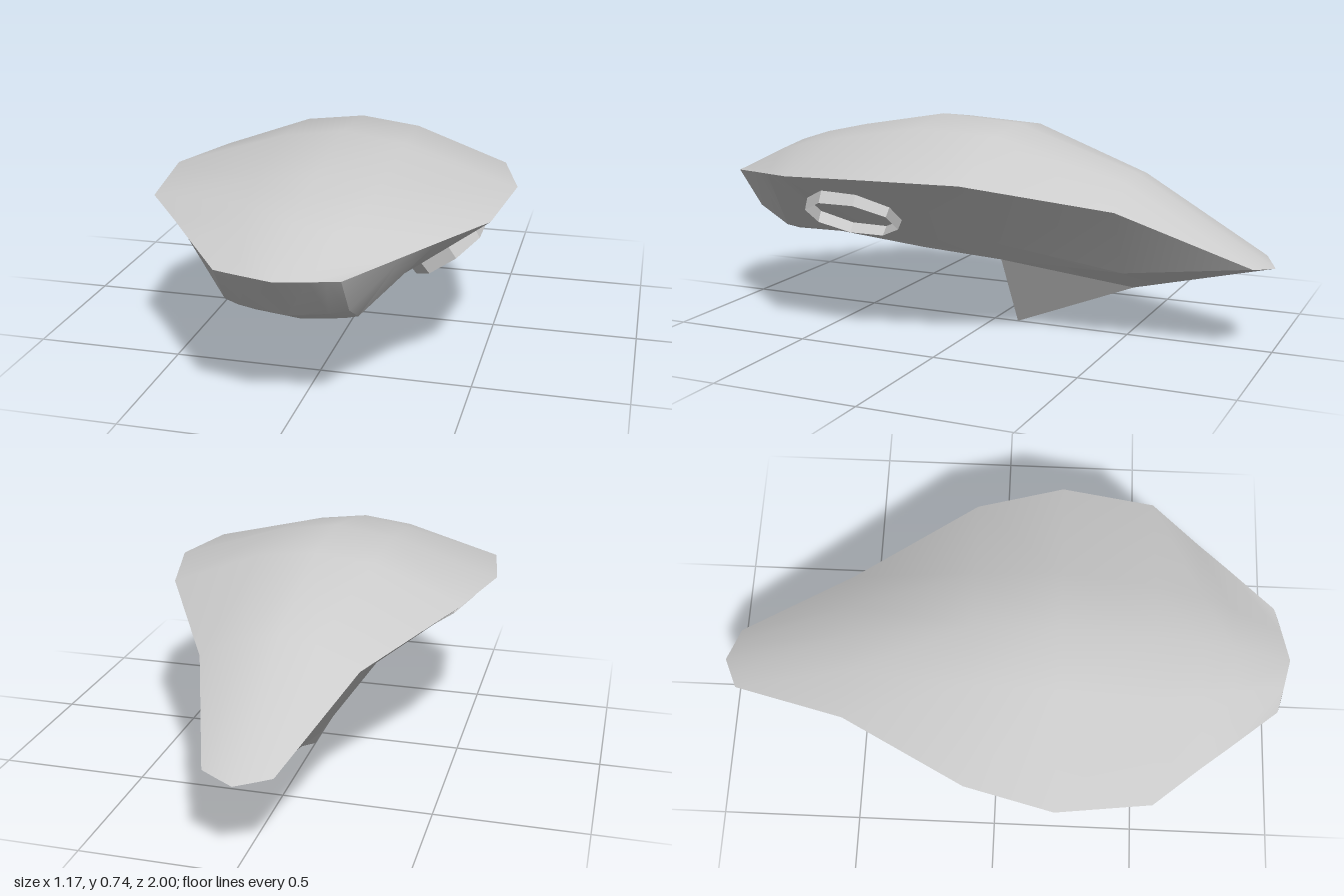
import * as THREE from 'three';
import { toCreasedNormals } from 'three/addons/utils/BufferGeometryUtils.js';

const material = new THREE.MeshStandardMaterial({ color: 0xcccccc, side: THREE.DoubleSide });

// Half sections from nose to tail: crown, shoulder, rim, chine, floor edge, floor centre
const SECTIONS = [
  [[0, 0.51, 1], [0.1, 0.51, 0.975], [0.19, 0.51, 0.95], [0.15, 0.51, 0.962], [0.1, 0.51, 0.975], [0, 0.51, 1]],
  [[0, 0.61, 0.79], [0.15, 0.592, 0.79], [0.33, 0.534, 0.78], [0.19, 0.385, 0.86], [0.13, 0.37, 0.865], [0, 0.35, 0.86]],
  [[0, 0.645, 0.68], [0.18, 0.622, 0.68], [0.41, 0.547, 0.68], [0.19, 0.32, 0.75], [0.14, 0.3, 0.73], [0, 0.275, 0.71]],
  [[0, 0.68, 0.52], [0.2, 0.652, 0.52], [0.545, 0.57, 0.52], [0.2, 0.318, 0.52], [0.17, 0.31, 0.52], [0, 0.308, 0.52]],
  [[0, 0.735, 0.2], [0.21, 0.705, 0.2], [0.587, 0.585, 0.2], [0.21, 0.32, 0.2], [0.165, 0.28, 0.2], [0, 0.28, 0.2]],
  [[0, 0.715, -0.09], [0.2, 0.69, -0.09], [0.51, 0.575, -0.1], [0.22, 0.335, -0.09], [0.15, 0.26, -0.09], [0, 0.26, -0.09]],
  [[0, 0.57, -0.52], [0.12, 0.55, -0.52], [0.263, 0.48, -0.53], [0.263, 0.48, -0.53], [0.13, 0.25, -0.52], [0, 0.17, -0.52]],
  [[0, 0.285, -1], [0.055, 0.292, -0.975], [0.11, 0.3, -0.95], [0.11, 0.3, -0.95], [0.055, 0.292, -0.975], [0, 0.285, -1]],
];

function fromTriangles(triangles, crease) {
  const geometry = new THREE.BufferGeometry();
  geometry.setAttribute('position', new THREE.Float32BufferAttribute(triangles.flat(2), 3));
  return toCreasedNormals(geometry, crease);
}

function area([a, b, c]) {
  return new THREE.Triangle(...[a, b, c].map((p) => new THREE.Vector3(...p))).getArea();
}

function hullGeometry() {
  const rings = SECTIONS.map((half) => [
    ...half,
    ...half.slice(1, -1).reverse().map(([x, y, z]) => [-x, y, z]),
  ]);
  const triangles = [];
  for (let i = 0; i < rings.length - 1; i++) {
    const n = rings[i].length;
    for (let j = 0; j < n; j++) {
      const k = (j + 1) % n;
      const a = rings[i][j], b = rings[i][k], c = rings[i + 1][j], d = rings[i + 1][k];
      // Mirror the diagonal on the other half
      if (j < n / 2) triangles.push([a, b, d], [a, d, c]);
      else triangles.push([a, b, c], [b, d, c]);
    }
  }
  return fromTriangles(triangles.filter((t) => area(t) > 1e-6), 0.45);
}

function add(parent, name, geometry) {
  const mesh = new THREE.Mesh(geometry, material);
  mesh.name = name;
  parent.add(mesh);
  return mesh;
}

export function createModel() {
  const model = new THREE.Group();
  model.name = 'hoverHull';

  add(model, 'hull', hullGeometry());

  // Wedge keel tapering back into the hull floor
  const left = [0.15, 0.26, -0.09], right = [-0.15, 0.26, -0.09];
  const tip = [0, 0, -0.09], heel = [0, 0.17, -0.52];
  add(model, 'keel', fromTriangles([
    [right, tip, left], [left, tip, heel], [tip, right, heel],
  ], 0.1));

  // Open eight-sided rings standing off the sloping underside
  for (const side of [1, -1]) {
    const axis = new THREE.Vector3(0.57 * side, -0.82, 0).normalize();
    const ring = new THREE.CylinderGeometry(0.132, 0.14, 0.09, 8, 1, true);
    ring.rotateY(Math.PI / 8);
    ring.scale(1, 1, 1.28);
    const mesh = add(model, side > 0 ? 'leftThrusterRing' : 'rightThrusterRing', toCreasedNormals(ring, 0.3));
    mesh.quaternion.setFromUnitVectors(new THREE.Vector3(0, 1, 0), axis);
    // Keep the long axis of the ring along the hull
    mesh.rotation.set(0, 0, Math.atan2(-axis.x, axis.y));
    mesh.position.set(0.4 * side, 0.41, 0.355).addScaledVector(axis, -0.045);
  }
  return model;
}
